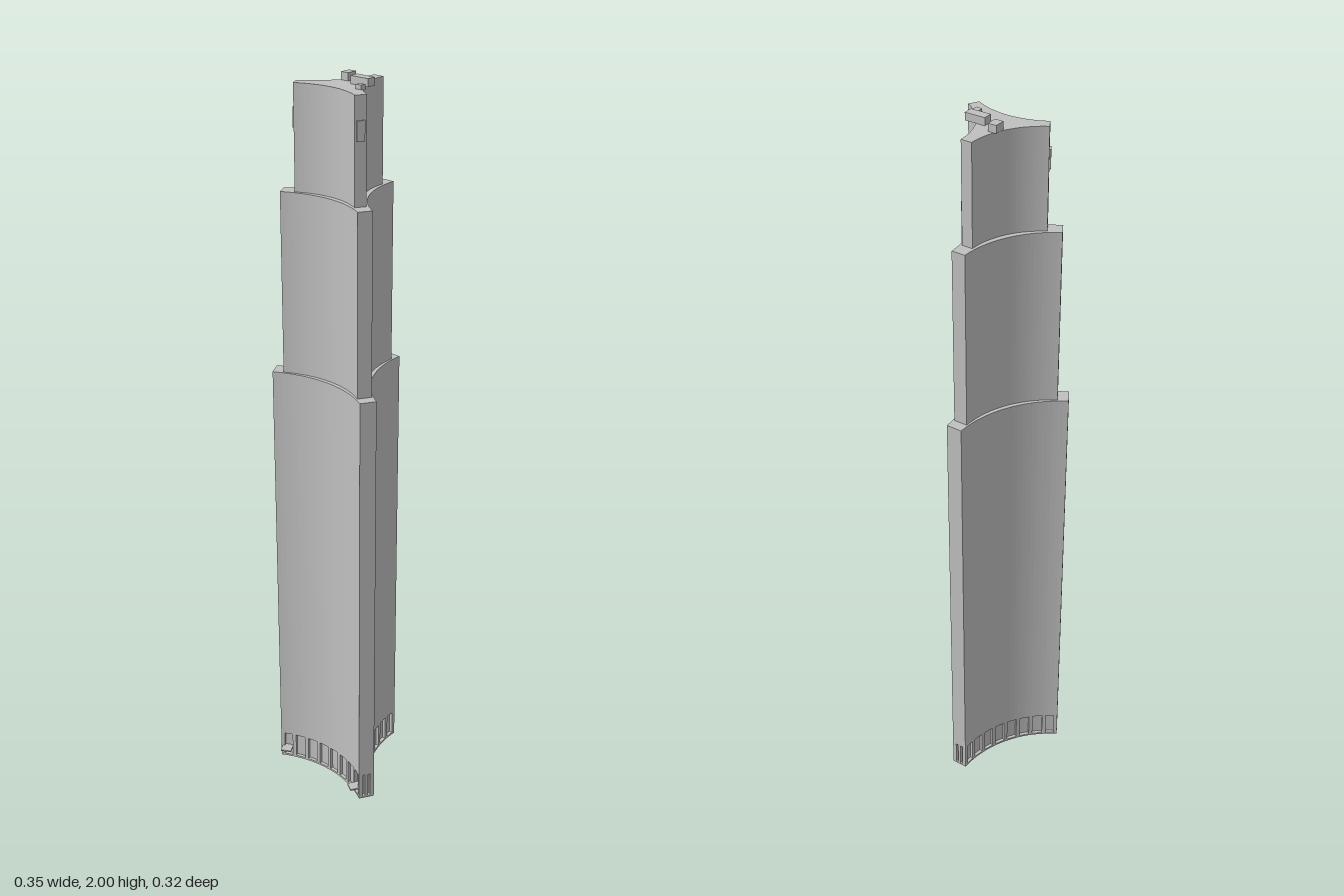
import * as THREE from 'three';

const CZ = 0.029;            // z of the three-armed plan's centre
const SEGMENTS = 24;         // facets along each concave facade
const BAYS = 8;              // ground floor bays along each facade

const concrete = new THREE.MeshStandardMaterial({ color: 0xc0c0c0 });
concrete.name = 'pale grey concrete';

// Points along the front concave facade, from left tip corner to right tip corner.
// tip = arm length, half = half width of the arm end, mid = centre-to-facade distance.
function facadeArc({ tip, half, mid }, n) {
  const hx = tip * Math.cos(Math.PI / 6) - half * 0.5;
  const hz = tip * 0.5 + half * Math.cos(Math.PI / 6);
  const sag = hz - mid;
  const R = (hx * hx + sag * sag) / (2 * sag);
  const a = Math.asin(hx / R);
  return Array.from({ length: n + 1 }, (_, i) => {
    const t = -a + (2 * a * i) / n;
    return { x: R * Math.sin(t), z: mid + R * (1 - Math.cos(t)), angle: t };
  });
}

// Closed plan: the same facade turned three times about the centre.
function planShape(plan) {
  const pts = [];
  for (let k = 0; k < 3; k++) {
    const a = (k * 2 * Math.PI) / 3, c = Math.cos(a), s = Math.sin(a);
    for (const p of facadeArc(plan, SEGMENTS)) {
      pts.push(new THREE.Vector2(p.x * c + p.z * s, -(p.z * c - p.x * s)));
    }
  }
  return new THREE.Shape(pts);
}

function addTier(group, name, plan, y0, y1) {
  const geo = new THREE.ExtrudeGeometry(planShape(plan), { depth: y1 - y0, bevelEnabled: false });
  geo.rotateX(-Math.PI / 2);
  const mesh = new THREE.Mesh(geo, concrete);
  mesh.name = name;
  mesh.position.y = y0;
  group.add(mesh);
}

function addBox(group, name, w, h, d, x, y, z, turn = 0) {
  const mesh = new THREE.Mesh(new THREE.BoxGeometry(w, h, d), concrete);
  mesh.name = name;
  mesh.position.set(x, y, z);
  mesh.rotation.y = turn;
  group.add(mesh);
}

export function createModel() {
  const model = new THREE.Group();
  model.name = 'tower';

  // Everything laid out about the plan centre
  const body = new THREE.Group();
  body.name = 'towerBody';
  body.position.z = CZ;
  model.add(body);

  // Three stepped tiers
  const base = { tip: 0.19, half: 0.022, mid: 0.073 };
  addTier(body, 'lowerTier', base, 0.078, 1.225);
  addTier(body, 'middleTier', { tip: 0.161, half: 0.019, mid: 0.062 }, 1.225, 1.71);
  addTier(body, 'upperTier', { tip: 0.124, half: 0.015, mid: 0.048 }, 1.71, 1.98);

  // Recessed ground floor and its sill
  addTier(body, 'groundFloorCore', { tip: 0.18, half: 0.013, mid: 0.064 }, 0.006, 0.078);
  addTier(body, 'groundSill', base, 0, 0.006);

  // Columns around the ground floor, one set per facade and arm end
  for (let k = 0; k < 3; k++) {
    const side = new THREE.Group();
    side.name = 'groundColumns';
    side.rotation.y = (k * 2 * Math.PI) / 3;
    body.add(side);
    facadeArc(base, BAYS).forEach((p, i) => {
      const end = i === 0 ? 1 : i === BAYS ? -1 : 0;
      const along = end * 0.0055, inset = 0.0055;
      const c = Math.cos(p.angle), s = Math.sin(p.angle);
      addBox(side, 'column', 0.011, 0.072, 0.011,
        p.x + along * c + inset * s, 0.042, p.z + along * s - inset * c, -p.angle);
    });
    addBox(side, 'armEndColumn', 0.008, 0.072, 0.011, 0, 0.042, -0.1845);
  }

  // Door canopies and small wall panels on the two front arms
  for (const m of [-1, 1]) {
    const arm = new THREE.Group();
    arm.name = m > 0 ? 'leftArmDetails' : 'rightArmDetails';
    arm.rotation.y = m * -Math.PI / 6;
    body.add(arm);
    addBox(arm, 'doorCanopy', 0.03, 0.004, 0.034, m * 0.171, 0.032, 0.029);
    addBox(arm, 'wallPanel', 0.006, 0.05, 0.02, m * 0.125, 1.895, 0);
  }

  // Rooftop equipment
  addBox(model, 'roofUnit', 0.023, 0.02, 0.029, -0.0235, 1.99, -0.0105);
  addBox(model, 'roofBeam', 0.056, 0.02, 0.025, 0.039, 1.99, 0.0085);
  addBox(model, 'roofVent', 0.017, 0.014, 0.015, 0.0655, 1.984, 0.0455);

  return model;
}
